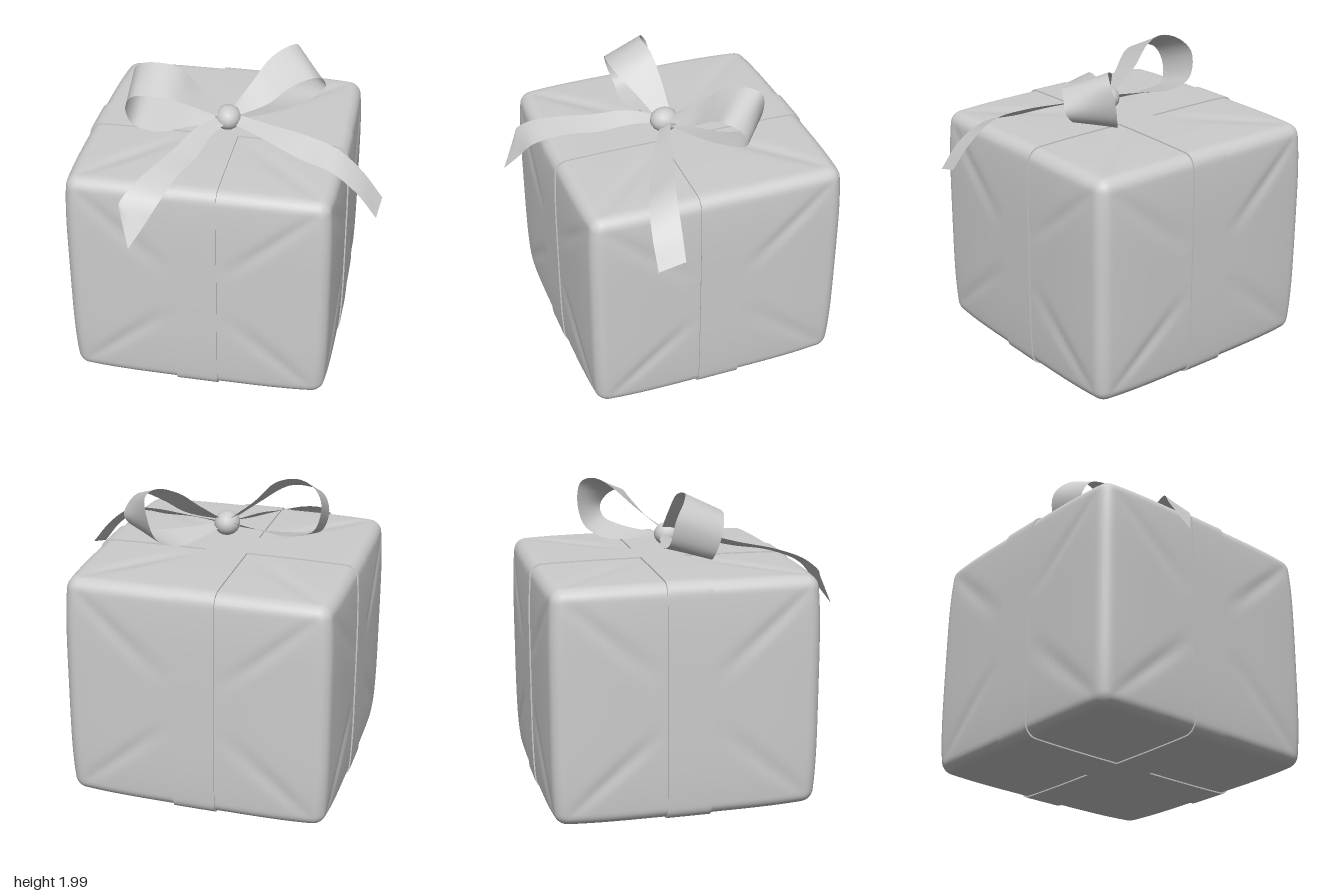
import * as THREE from 'three';
import { toCreasedNormals } from 'three/addons/utils/BufferGeometryUtils.js';

const HALF = new THREE.Vector3(0.87, 0.763, 0.87);
const CENTRE = new THREE.Vector3(-0.113, 0.77, -0.1);
const AXES = ['x', 'y', 'z'];
const RADIUS = 0.075;

// Rounded, slightly pillowed block; flatAxis keeps that axis unrounded (for bands),
// folds adds shallow diagonal paper creases on every face.
function wrappedBlock(half, segs, flatAxis, folds) {
  const geo = new THREE.BoxGeometry(2, 2, 2, ...segs);
  const pos = geo.attributes.position;
  const u = new THREE.Vector3(), p = new THREE.Vector3(), q = new THREE.Vector3();
  for (let i = 0; i < pos.count; i++) {
    u.fromBufferAttribute(pos, i);
    // crowd the vertices towards the edges
    for (const a of AXES) u[a] = Math.sin(u[a] * Math.PI / 2);
    p.copy(u).multiply(half);

    // round the edges
    for (const a of AXES) {
      const core = a === flatAxis ? half[a] : half[a] - RADIUS;
      q[a] = THREE.MathUtils.clamp(p[a], -core, core);
    }
    const d = p.clone().sub(q);
    if (d.length() > 1e-6) p.copy(q).addScaledVector(d.normalize(), flatAxis && !onRim(u, flatAxis) ? p.distanceTo(q) : RADIUS);

    // press the folds in
    if (folds) AXES.forEach((a, k) => {
      const b = Math.abs(u[AXES[(k + 1) % 3]]), c = Math.abs(u[AXES[(k + 2) % 3]]);
      const m = Math.max(b, c);
      if (Math.abs(u[a]) > 0.9999 && m > 0.2 && m < 0.95) {
        const fade = Math.sin(Math.PI * (m - 0.2) / 0.75);
        p[a] -= Math.sign(u[a]) * 0.012 * fade * Math.exp(-(((b - c) / 0.07) ** 2));
      }
    });

    // draw the sides in towards the corners
    const n = p.clone().divide(HALF);
    AXES.forEach((a, k) => {
      const b = n[AXES[(k + 1) % 3]], c = n[AXES[(k + 2) % 3]];
      p[a] *= 1 - (a === 'y' ? 0.014 : 0.024) * (b ** 4 + c ** 4);
    });
    pos.setXYZ(i, p.x, p.y, p.z);
  }
  geo.deleteAttribute('uv');
  return toCreasedNormals(geo, 0.7);
}

// True where a band vertex lies on its outer surface
function onRim(u, flatAxis) {
  return AXES.some(a => a !== flatAxis && Math.abs(u[a]) > 0.9999);
}

// Ribbon between two smooth edges; each row is [ax, ay, az, bx, by, bz]
function ribbon(rows, along = 40, across = 4) {
  const edge = o => new THREE.CatmullRomCurve3(rows.map(r => new THREE.Vector3(r[o], r[o + 1], r[o + 2])));
  const a = edge(0), b = edge(3);
  const verts = [], index = [];
  for (let i = 0; i <= along; i++) {
    const pa = a.getPoint(i / along), pb = b.getPoint(i / along);
    for (let j = 0; j <= across; j++) {
      verts.push(...pa.clone().lerp(pb, j / across).toArray());
      if (i < along && j < across) {
        const k = i * (across + 1) + j, n = k + across + 1;
        index.push(k, k + 1, n, k + 1, n + 1, n);
      }
    }
  }
  const geo = new THREE.BufferGeometry();
  geo.setAttribute('position', new THREE.Float32BufferAttribute(verts, 3));
  geo.setIndex(index);
  geo.computeVertexNormals();
  return geo;
}

export function createModel() {
  const group = new THREE.Group();
  const grey = new THREE.MeshStandardMaterial({ color: 0xcccccc, side: THREE.DoubleSide });
  grey.name = 'light grey';
  const add = (name, geo) => {
    const mesh = new THREE.Mesh(geo, grey);
    mesh.name = name;
    group.add(mesh);
    return mesh;
  };

  // Wrapped box and the two crossing bands
  add('giftBox', wrappedBlock(HALF, [60, 60, 60], null, true)).position.copy(CENTRE);
  const out = HALF.clone().addScalar(0.009);
  add('bandFrontToBack', wrappedBlock(out.clone().setX(0.143), [4, 48, 48], 'x', false)).position.copy(CENTRE);
  add('bandSideToSide', wrappedBlock(out.clone().setZ(0.147), [48, 48, 4], 'z', false)).position.copy(CENTRE);

  // Bow knot
  const knot = add('bowKnot', new THREE.SphereGeometry(1, 14, 10));
  knot.scale.set(0.085, 0.08, 0.095);
  knot.position.set(-0.05, 1.645, -0.01);

  // Bow loops
  add('rightLoop', ribbon([
    [-0.08, 1.69, -0.06, -0.08, 1.66, 0.04],
    [-0.25, 1.83, -0.06, -0.23, 1.76, 0.12],
    [-0.38, 1.96, -0.04, -0.40, 1.86, 0.21],
    [-0.52, 1.99, -0.02, -0.52, 1.87, 0.22],
    [-0.64, 1.95, -0.06, -0.64, 1.84, 0.20],
    [-0.70, 1.86, -0.12, -0.69, 1.73, 0.17],
    [-0.66, 1.70, -0.15, -0.65, 1.60, 0.13],
    [-0.50, 1.65, -0.16, -0.48, 1.57, 0.14],
    [-0.28, 1.66, -0.12, -0.28, 1.59, 0.06],
    [-0.08, 1.67, -0.06, -0.08, 1.61, 0.04],
  ]));
  add('leftLoop', ribbon([
    [-0.02, 1.70, -0.08, 0.00, 1.66, 0.00],
    [0.08, 1.82, -0.22, 0.20, 1.72, -0.10],
    [0.17, 1.93, -0.34, 0.34, 1.82, -0.18],
    [0.28, 1.98, -0.44, 0.47, 1.87, -0.22],
    [0.33, 1.95, -0.52, 0.52, 1.83, -0.30],
    [0.31, 1.82, -0.55, 0.54, 1.75, -0.35],
    [0.26, 1.66, -0.51, 0.48, 1.68, -0.34],
    [0.16, 1.59, -0.38, 0.34, 1.64, -0.24],
    [0.07, 1.60, -0.22, 0.18, 1.63, -0.12],
    [-0.02, 1.63, -0.08, 0.00, 1.64, 0.00],
  ]));

  // Hanging ribbon ends
  add('leftTail', ribbon([
    [0.00, 1.66, -0.03, 0.00, 1.62, 0.04],
    [0.25, 1.65, 0.05, 0.22, 1.60, 0.16],
    [0.50, 1.64, 0.13, 0.47, 1.555, 0.28],
    [0.70, 1.60, 0.19, 0.68, 1.53, 0.36],
    [0.86, 1.48, 0.22, 0.85, 1.42, 0.40],
    [1.00, 1.31, 0.24, 0.98, 1.26, 0.41],
  ]));
  add('frontTail', ribbon([
    [-0.10, 1.66, 0.02, -0.04, 1.64, 0.04],
    [-0.22, 1.66, 0.20, -0.12, 1.61, 0.20],
    [-0.31, 1.62, 0.40, -0.17, 1.57, 0.40],
    [-0.42, 1.585, 0.62, -0.25, 1.545, 0.62],
    [-0.51, 1.53, 0.78, -0.32, 1.47, 0.81],
    [-0.56, 1.46, 0.86, -0.40, 1.34, 0.90],
    [-0.555, 1.43, 0.87, -0.48, 1.22, 0.98],
  ]));

  return group;
}
